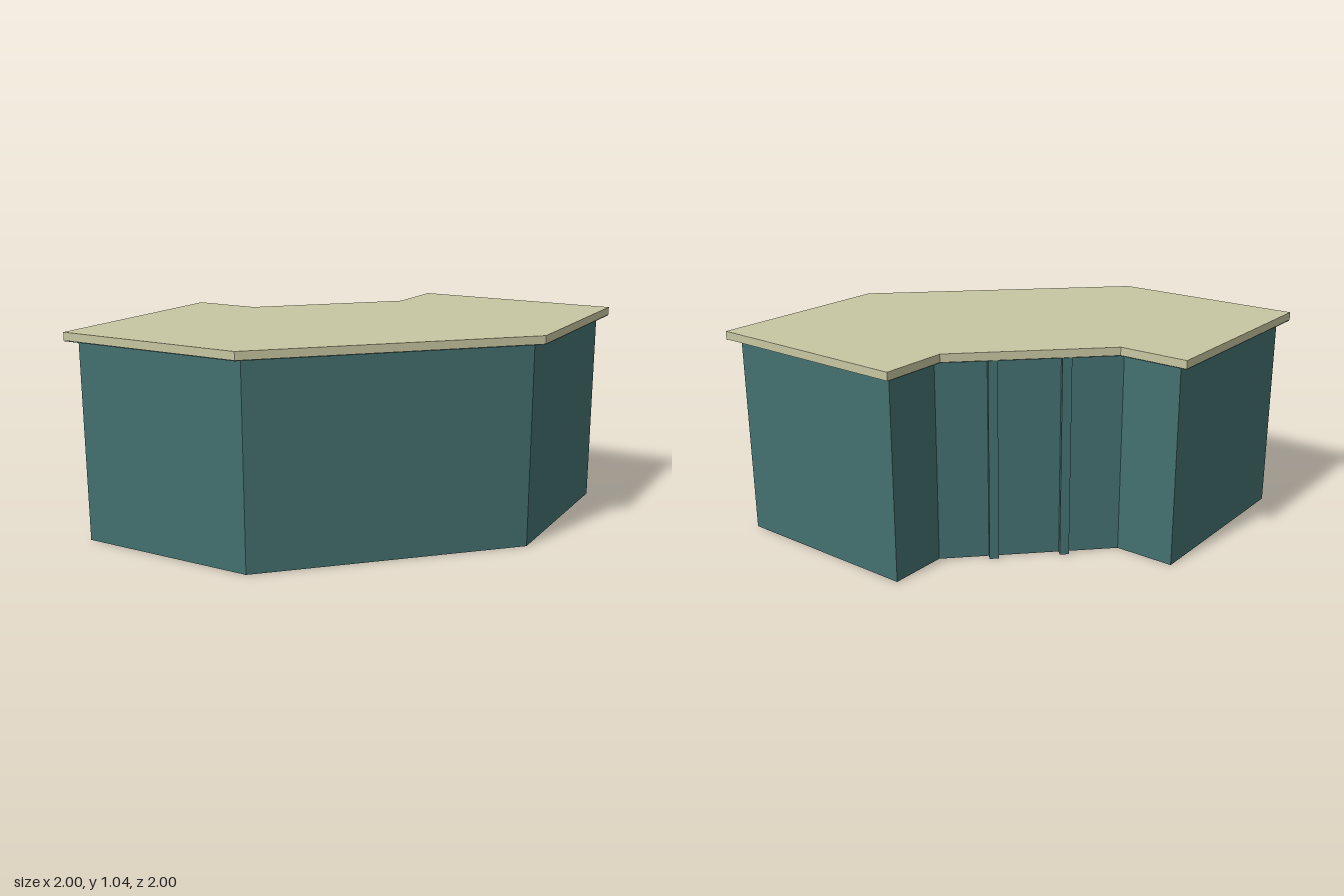
import * as THREE from 'three';

const HEIGHT = 1.0;
const TOP = 0.04;

// Plan outlines as [x, z], counter-clockwise from the front right corner
const TOP_PLAN = [
  [-1, 0.995], [-0.03, 0.985], [1, -0.03], [1, -1],
  [-0.07, -1], [-0.07, -0.66], [-0.655, -0.07], [-1, -0.07],
];
const BODY_PLAN = [
  [-0.95, 0.95], [-0.03, 0.942], [0.95, -0.025], [0.95, -0.95],
  [-0.03, -0.95], [-0.03, -0.655], [-0.65, -0.03], [-0.95, -0.03],
];

export function createModel() {
  const group = new THREE.Group();
  const teal = new THREE.MeshStandardMaterial({ color: 0x447070, side: THREE.DoubleSide });
  teal.name = 'teal panel';
  const cream = new THREE.MeshStandardMaterial({ color: 0xc8c7a2 });
  cream.name = 'cream worktop';

  const add = (name, geometry, material, parent = group) => {
    const mesh = new THREE.Mesh(geometry, material);
    mesh.name = name;
    parent.add(mesh);
    return mesh;
  };
  const planShape = (points) => new THREE.Shape(points.map(([x, z]) => new THREE.Vector2(x, -z)));

  // Worktop slab
  const slab = new THREE.ExtrudeGeometry(planShape(TOP_PLAN), { depth: TOP, bevelEnabled: false });
  slab.rotateX(-Math.PI / 2);
  slab.translate(0, HEIGHT, 0);
  add('worktop', slab, cream);

  // Thin wall panels, open below, and the lining under the overhang
  const walls = new THREE.Group();
  walls.name = 'cabinetWalls';
  group.add(walls);
  BODY_PLAN.forEach((a, i) => {
    const j = (i + 1) % BODY_PLAN.length;
    const b = BODY_PLAN[j];
    const dx = b[0] - a[0], dz = b[1] - a[1];
    const wall = add('wallPanel', new THREE.PlaneGeometry(Math.hypot(dx, dz), HEIGHT), teal, walls);
    wall.position.set((a[0] + b[0]) / 2, HEIGHT / 2, (a[1] + b[1]) / 2);
    wall.rotation.y = Math.atan2(-dz, dx);

    // The short back end keeps the bare worktop underside
    if (i === 3) return;
    const lining = new THREE.ShapeGeometry(planShape([TOP_PLAN[i], TOP_PLAN[j], b, a]));
    lining.rotateX(-Math.PI / 2);
    lining.translate(0, HEIGHT - 0.003, 0);
    add('overhangLining', lining, teal, walls);
  });

  // Two upright battens on the angled back panel
  const [p, q] = [BODY_PLAN[5], BODY_PLAN[6]];
  const angle = Math.atan2(-(q[1] - p[1]), q[0] - p[0]);
  for (const t of [0.3, 0.69]) {
    const batten = add('backBatten', new THREE.BoxGeometry(0.045, HEIGHT, 0.035), teal);
    batten.position.set(
      p[0] + (q[0] - p[0]) * t + Math.sin(angle) * 0.0175,
      HEIGHT / 2,
      p[1] + (q[1] - p[1]) * t + Math.cos(angle) * 0.0175,
    );
    batten.rotation.y = angle;
  }
  return group;
}
